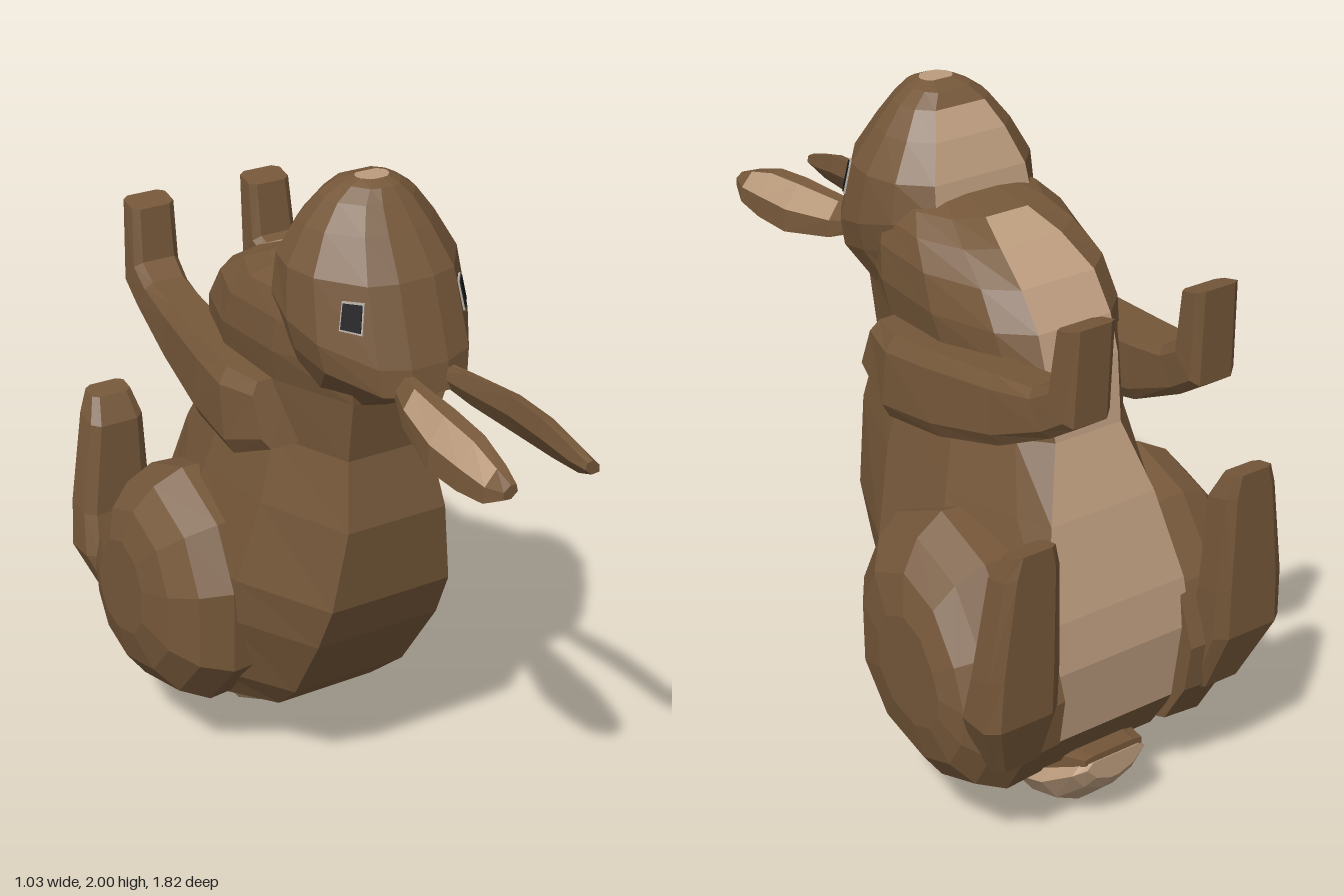
import * as THREE from 'three';

const mat = (name, color) => {
  const m = new THREE.MeshStandardMaterial({ color });
  m.name = name;
  return m;
};

// Faceted skin through rings of [x, y, z] points, closed by caps.
// isLight(i, j) picks the second material for a facet; j is -1 on caps.
function loft(name, rings, materials, isLight = () => false) {
  const parts = [[], []];
  const n = rings[0].length;
  const add = (light, ...pts) => parts[light ? 1 : 0].push(pts);
  for (let i = 0; i < rings.length - 1; i++) {
    for (let j = 0; j < n; j++) {
      const k = (j + 1) % n, [a, b] = [rings[i], rings[i + 1]];
      add(isLight(i, j), a[j], a[k], b[k]);
      add(isLight(i, j), a[j], b[k], b[j]);
    }
  }
  const last = rings.length - 1;
  for (let j = 1; j < n - 1; j++) {
    add(isLight(0, -1), rings[0][0], rings[0][j + 1], rings[0][j]);
    add(isLight(last, -1), rings[last][0], rings[last][j], rings[last][j + 1]);
  }
  // Turn the skin outward whichever way the rings run
  let volume = 0;
  const v = (p) => new THREE.Vector3(...p);
  for (const t of parts.flat()) volume += v(t[0]).dot(v(t[1]).cross(v(t[2])));
  if (volume < 0) parts.flat().forEach((t) => t.reverse());

  const geo = new THREE.BufferGeometry();
  geo.setAttribute('position', new THREE.Float32BufferAttribute(parts.flat(3), 3));
  geo.computeVertexNormals();
  geo.addGroup(0, parts[0].length * 3, 0);
  if (parts[1].length) geo.addGroup(parts[0].length * 3, parts[1].length * 3, 1);
  const mesh = new THREE.Mesh(geo, materials);
  mesh.name = name;
  return mesh;
}

const mirrorRing = (half) => [...half, ...half.map(([x, y, z]) => [-x, y, z]).reverse()];
const lerp = (a, b, t) => a + (b - a) * t;

// Chamfered section between two [z, y] edges and two x limits
const CHAMFER = [[.15, 0], [.85, 0], [1, .18], [1, .82], [.85, 1], [.15, 1], [0, .82], [0, .18]];
const limbRing = ([a, b, xin, xout]) => CHAMFER.map(([u, w]) =>
  [lerp(xin, xout, u), lerp(a[1], b[1], w), lerp(a[0], b[0], w)]);

export function createModel() {
  const model = new THREE.Group();
  model.name = 'rabbit';
  const brown = mat('brown fur', 0x76583a);
  const tan = mat('tan fur', 0xbc9c7e);
  const black = mat('eye black', 0x17171a);
  const rim = mat('eye rim', 0xb5aca2);
  const fur = [brown, tan];

  // Body: [y, z of back, z of belly, half width, half width of belly panel]
  const body = [
    [.165, -.38, -.62, .2, .14], [.24, -.2, -.72, .3, .2], [.36, -.06, -.78, .34, .23],
    [.6, .1, -.81, .365, .25], [.75, .17, -.79, .355, .235], [1.01, .2, -.72, .29, .175],
    [1.21, .155, -.645, .24, .11], [1.4, .19, -.61, .25, .12], [1.5, .2, -.575, .27, .12],
    [1.6, .18, -.5, .265, .12], [1.67, .15, -.38, .24, .1], [1.715, .12, -.27, .2, .07],
    [1.74, .1, -.16, .14, .05],
  ].map(([y, zf, zb, w, p]) => {
    const d = zf - zb;
    return mirrorRing([[p, y, zb], [.76 * w, y, zb + .1 * d], [w, y, zb + .35 * d],
      [.95 * w, y, zb + .68 * d], [.56 * w, y, zf]]);
  });
  model.add(loft('body', body, fur, (i, j) => j === 9 && i >= 2 && i <= 10));

  // Head: [front y, rear y, front z, rear z, half width], chin panel and nose tip in tan
  const head = [
    [1.385, 1.5, .2, -.13, .2], [1.47, 1.6, .36, -.16, .245], [1.55, 1.69, .35, -.17, .265],
    [1.77, 1.78, .28, -.15, .25], [1.88, 1.88, .208, -.105, .19], [1.95, 1.95, .16, -.055, .135],
    [1.985, 1.985, .135, -.025, .085], [2, 2, .1, .03, .05],
  ].map(([yf, yb, zf, zb, w]) => mirrorRing(
    [[.6, 0], [.9, .18], [1, .42], [.92, .66], [.55, .95], [.22, 1.01]].map(([u, f]) =>
      [u * w, lerp(yb, yf, f), lerp(zb, zf, f)])));
  model.add(loft('head', head, fur, (i, j) =>
    (j === 11 && i >= 2 && i <= 4) || (j === -1 && i === 7)));

  // Tail: [z, bottom y, top y, half width], tan below a brown root
  const tail = [
    [-.42, .11, .135, .08], [-.5, .05, .14, .14], [-.57, .005, .15, .16],
    [-.68, .04, .195, .16], [-.78, .14, .25, .13], [-.81, .19, .265, .1],
  ].map(([z, lo, hi, w]) => mirrorRing([[.15 * w, lo, z], [.65 * w, lerp(lo, hi, .25), z],
    [w, lerp(lo, hi, .75), z], [.8 * w, hi, z]]));
  model.add(loft('tail', tail, [tan]));
  model.add(loft('tailRoot', [
    [[-.46, .2], [-.46, .125], -.12, .12],
    [[-.66, .26], [-.66, .17], -.14, .14],
    [[-.8, .28], [-.8, .25], -.1, .1],
  ].map(limbRing), [brown]));

  // Forelegs, bent up at the paw
  const foreleg = [
    [[-.08, 1.4], [-.01, 1.22], .15, .31], [[-.2, 1.41], [-.17, 1.15], .16, .345],
    [[-.34, 1.42], [-.39, 1.18], .17, .33], [[-.6, 1.445], [-.62, 1.245], .155, .3],
    [[-.74, 1.46], [-.82, 1.35], .14, .285], [[-.81, 1.5], [-.905, 1.41], .13, .28],
    [[-.83, 1.66], [-.91, 1.68], .13, .27],
  ].map(limbRing);

  // Upright hind feet, rooted in the thighs
  const foot = [
    [[-.72, .39], [-.84, .39], .27, .43], [[-.76, .58], [-.91, .58], .27, .51],
    [[-.79, .71], [-.91, .74], .27, .5], [[-.8, 1], [-.91, 1.03], .28, .455],
    [[-.84, 1.08], [-.91, 1.095], .3, .43],
  ].map(limbRing);

  // Rounded thighs: one [z, y] outline shrunk toward the outer side
  const outline = [[-.15, .7], [-.24, .89], [-.45, .99], [-.65, .92], [-.79, .73], [-.86, .55],
    [-.84, .4], [-.76, .26], [-.58, .19], [-.32, .25], [-.16, .43]];
  const thigh = [[.22, .98], [.34, 1], [.43, .88], [.49, .68], [.517, .4]].map(([x, s]) =>
    outline.map(([z, y]) => [x, .6 + (y - .6) * s, -.57 + (z + .57) * s]));

  // Ears: [z, top edge x, y, bottom edge x, y, half thickness]
  const ear = [
    [.31, .05, 1.53, .09, 1.47, .025], [.42, .065, 1.535, .13, 1.425, .03],
    [.6, .085, 1.54, .172, 1.39, .034], [.74, .09, 1.525, .176, 1.39, .034],
    [.85, .1, 1.49, .17, 1.4, .028], [.91, .11, 1.465, .15, 1.43, .018],
  ].map(([z, ax, ay, bx, by, t]) => [[0, 0], [.17, .75], [.66, .85], [1, 0], [.75, -1], [.25, -1]]
    .map(([u, s]) => [lerp(ax, bx, u) + .8 * t * s, lerp(ay, by, u) + .6 * t * s, z]));

  // Thin eye plates lying on the cheek facet
  const [a, b, c, d] = [head[2][3], head[2][4], head[3][3], head[3][4]];
  const out = [.82, .18, .54];
  const eyePlate = (size, inner, outer) => [inner, outer].map((o) =>
    [[-.8, -1], [1, -.85], [.8, 1], [-1, .85]].map(([p, q]) => {
      const u = .66 + size * (.22 * p + .08 * q), w = .57 + .23 * size * q;
      return out.map((k, m) => lerp(lerp(a[m], b[m], u), lerp(c[m], d[m], u), w) + k * o);
    }));

  for (const [side, s] of [['left', 1], ['right', -1]]) {
    const pair = (name, rings, mats, light) => model.add(loft(side + name,
      rings.map((r) => r.map(([x, y, z]) => [s * x, y, z])), mats, light));
    pair('Foreleg', foreleg, [brown]);
    pair('Foot', foot, [brown]);
    pair('Thigh', thigh, [brown]);
    pair('Ear', ear, fur, (i, j) => j === 1 && i >= 1 && i <= 3);
    pair('EyeRim', eyePlate(1, -.002, .005), [rim]);
    pair('Eye', eyePlate(.86, .001, .009), [black]);
  }
  return model;
}
